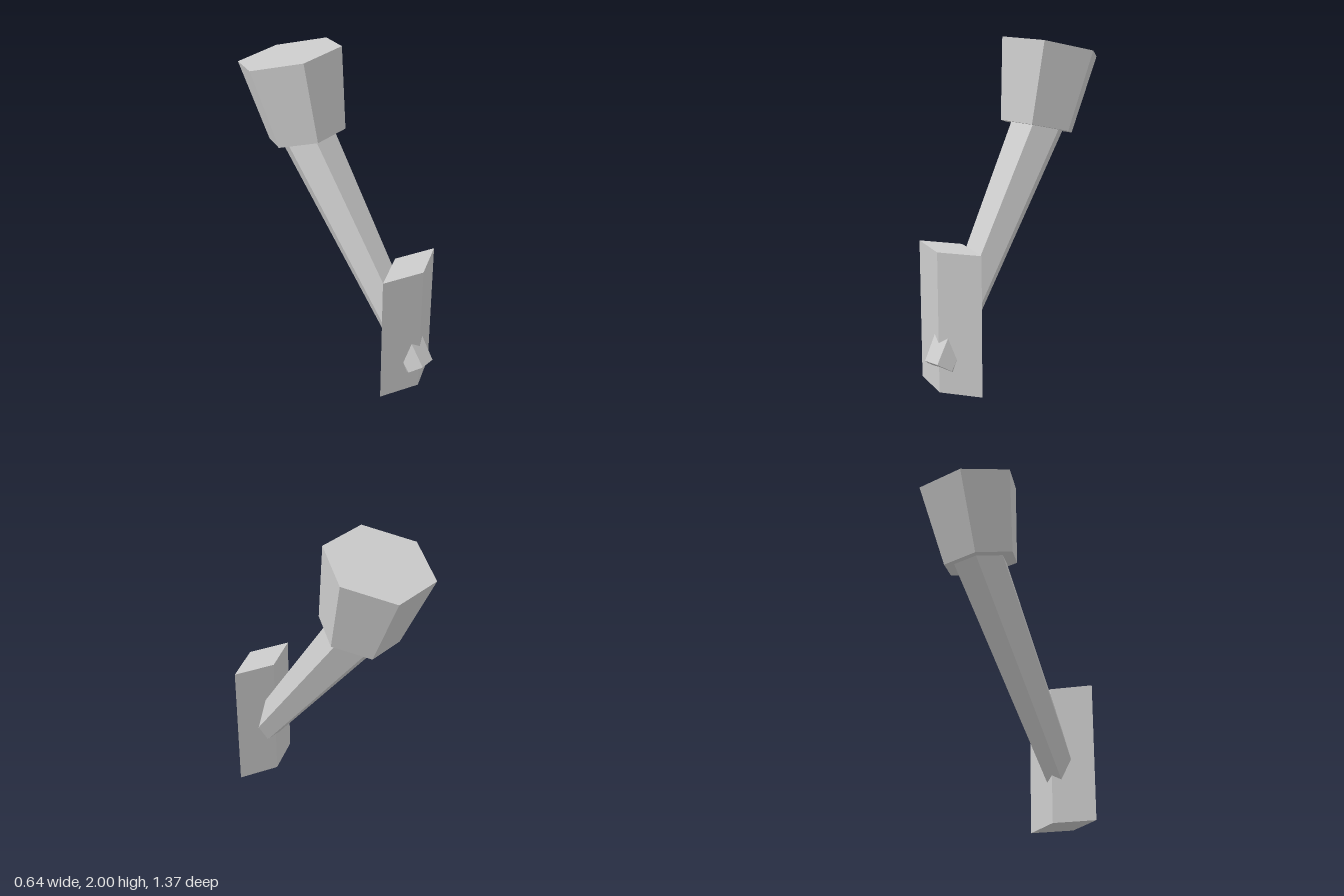
import * as THREE from 'three';

const metal = new THREE.MeshStandardMaterial({ color: 0xcccccc, flatShading: true });
metal.name = 'pale grey metal';

// Six-sided tapered bar between two points in the x = 0 plane, corners on +-x
function hexBar(name, z0, y0, r0, z1, y1, r1) {
  const dz = z1 - z0, dy = y1 - y0;
  const geo = new THREE.CylinderGeometry(r1, r0, Math.hypot(dz, dy), 6);
  geo.rotateY(Math.PI / 6);
  geo.rotateX(Math.atan2(dz, dy));
  geo.translate(0, (y0 + y1) / 2, (z0 + z1) / 2);
  const mesh = new THREE.Mesh(geo, metal);
  mesh.name = name;
  return mesh;
}

export function createModel() {
  const model = new THREE.Group();
  model.name = 'wallTorch';

  // Diamond-section mounting plate
  const plateGeo = new THREE.CylinderGeometry(1, 1, 0.86, 4);
  plateGeo.scale(0.24, 1, 0.106);
  plateGeo.translate(0, 0.43, 0.514);
  const plate = new THREE.Mesh(plateGeo, metal);
  plate.name = 'mountingPlate';

  // Slanted handle piercing the plate, its top end buried in the head
  const handle = hexBar('handle', 0.617, 0.16, 0.097, -0.354, 1.541, 0.172);

  // Flared torch head
  const head = hexBar('torchHead', -0.29, 1.45, 0.24, -0.42, 1.926, 0.32);

  model.add(plate, handle, head);
  return model;
}
